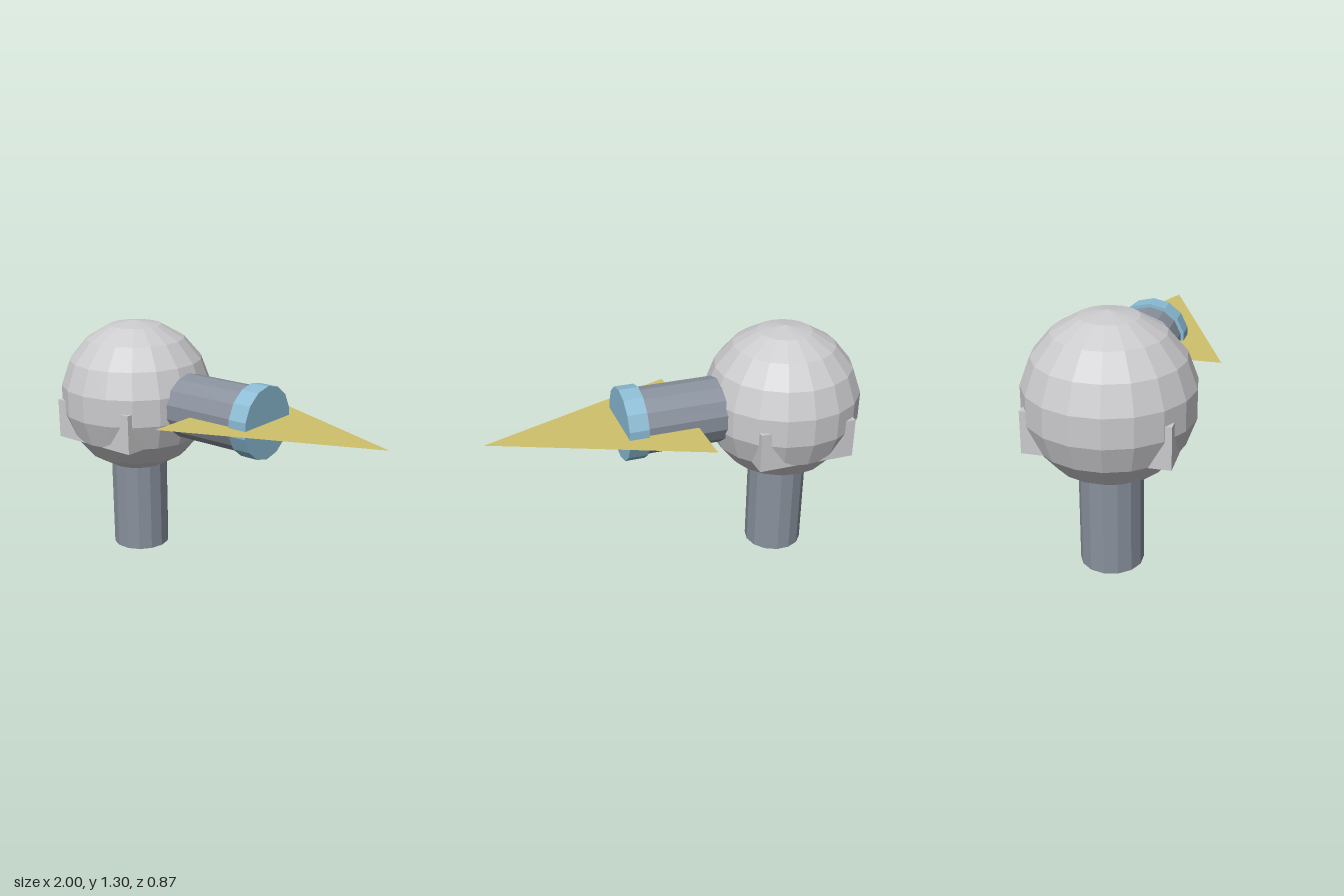
import * as THREE from 'three';

function material(name, color, extra = {}) {
  const m = new THREE.MeshStandardMaterial({ color, flatShading: true, ...extra });
  m.name = name;
  return m;
}

export function createModel() {
  const group = new THREE.Group();
  const shellGrey = material('shellGrey', 0xcbcbce);
  const steelGrey = material('steelGrey', 0x89919d);
  const lensBlue = material('lensBlue', 0x8cbcd5);
  const beamYellow = material('beamYellow', 0xcfc16a, { side: THREE.DoubleSide });

  const headX = -0.59, headY = 0.884, sides = 14;

  function add(name, geometry, mat, x, y, z = 0) {
    const mesh = new THREE.Mesh(geometry, mat);
    mesh.name = name;
    mesh.position.set(x, y, z);
    group.add(mesh);
    return mesh;
  }

  // Cylinder lying along x, with a corner at the top
  function tubeAlongX(name, radius, x0, x1, mat) {
    const g = new THREE.CylinderGeometry(radius, radius, x1 - x0, sides);
    g.rotateY(Math.PI / 2).rotateZ(-Math.PI / 2);
    return add(name, g, mat, (x0 + x1) / 2, headY);
  }

  // Round head, corners of its rings on the z axis
  add('head', new THREE.SphereGeometry(0.421, 18, 9).rotateY(Math.PI / 2), shellGrey, headX, headY);

  // Block inside the head; only its corners poke out
  add('cornerBlock', new THREE.BoxGeometry(0.525, 0.212, 0.704), shellGrey, headX, 0.777);

  // Standing post, reaching into the head
  const post = new THREE.CylinderGeometry(0.158, 0.158, 0.55, sides).rotateY(Math.PI / 2);
  add('post', post, steelGrey, headX + 0.003, 0.275);

  // Barrel and lens pointing to the side
  tubeAlongX('barrel', 0.175, -0.32, 0.21, steelGrey);
  tubeAlongX('lens', 0.193, 0.207, 0.31, lensBlue);

  // Flat horizontal triangle through the lens
  const triangle = new THREE.Shape([
    new THREE.Vector2(-0.06, -0.437),
    new THREE.Vector2(1, 0),
    new THREE.Vector2(-0.06, 0.437),
  ]);
  add('beam', new THREE.ShapeGeometry(triangle).rotateX(-Math.PI / 2), beamYellow, 0, headY);

  return group;
}
